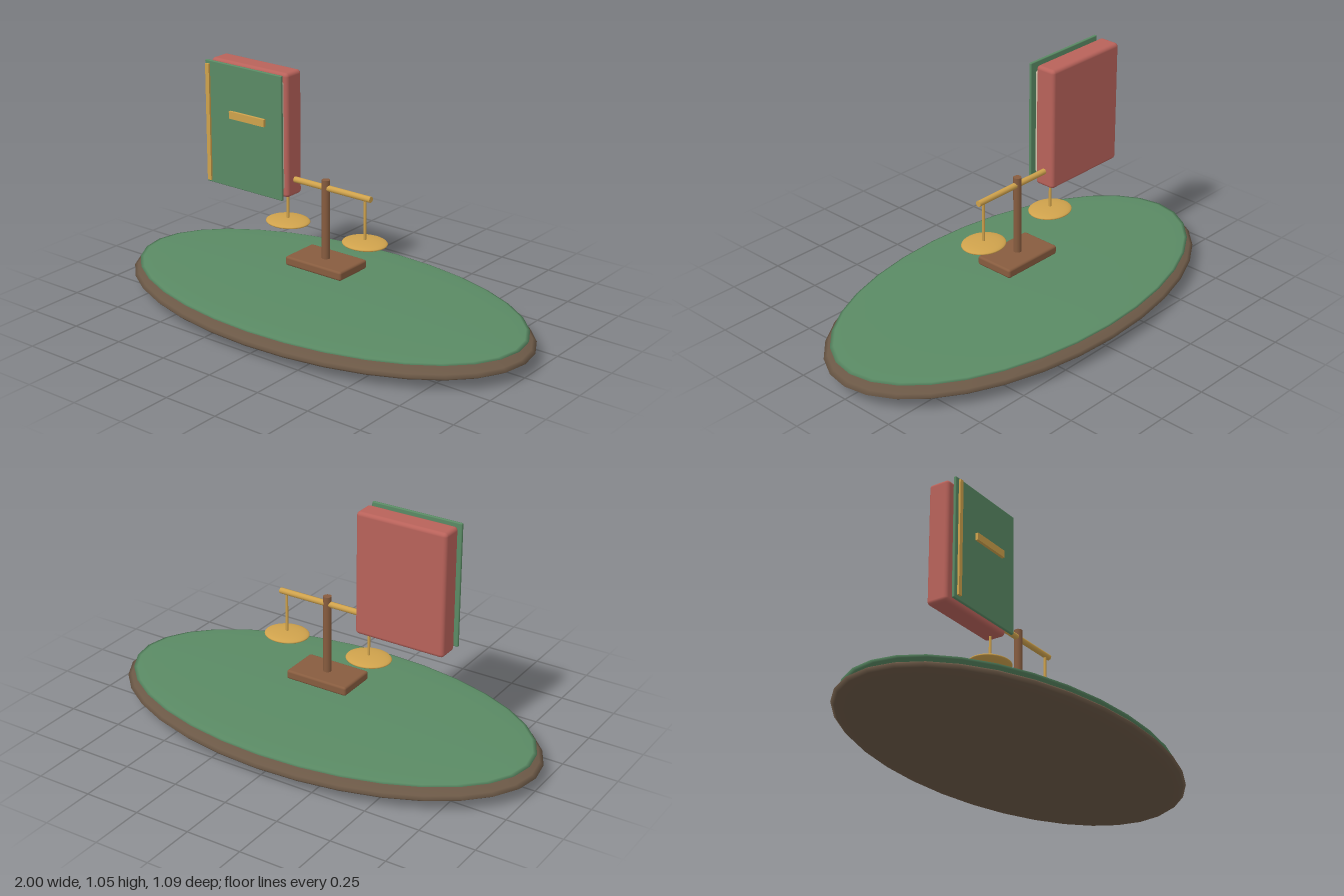
import * as THREE from 'three';
import { RoundedBoxGeometry } from 'three/addons/geometries/RoundedBoxGeometry.js';

export function createModel() {
  const model = new THREE.Group();
  model.name = 'tableWithBookAndScales';

  const mat = (name, color) => {
    const m = new THREE.MeshStandardMaterial({ color });
    m.name = name;
    return m;
  };
  const green = mat('green', 0x5a8a64);
  const darkWood = mat('darkWood', 0x6b5846);
  const wood = mat('wood', 0x875c3f);
  const gold = mat('gold', 0xcfa24c);
  const red = mat('red', 0xb8625a);
  const cream = mat('cream', 0xd2c8ae);

  const add = (parent, name, geometry, material, x, y, z) => {
    const mesh = new THREE.Mesh(geometry, material);
    mesh.name = name;
    mesh.position.set(x, y, z);
    parent.add(mesh);
    return mesh;
  };
  const group = (name) => {
    const g = new THREE.Group();
    g.name = name;
    model.add(g);
    return g;
  };
  const ellipsoid = (rx, ry, rz) => new THREE.SphereGeometry(1, 32, 16).scale(rx, ry, rz);

  // Oval tabletop: wooden body with a thin green felt on it
  const table = group('table');
  add(table, 'tableBody', ellipsoid(1, 0.06, 0.545), darkWood, 0, 0.06, 0);
  add(table, 'felt', ellipsoid(0.97, 0.017, 0.52), green, 0, 0.105, 0);

  // Upright book, cover facing front
  const book = group('book');
  const bx = -0.373, by = 0.775;
  add(book, 'backBlock', new RoundedBoxGeometry(0.416, 0.546, 0.098, 3, 0.016), red, bx, by, 0.001);
  add(book, 'pages', new RoundedBoxGeometry(0.36, 0.48, 0.06, 3, 0.016), cream, bx + 0.01, by, 0.044);
  add(book, 'frontCover', new RoundedBoxGeometry(0.416, 0.546, 0.013, 2, 0.004), green, bx, by, 0.082);
  add(book, 'spineStrip', new THREE.BoxGeometry(0.02, 0.52, 0.009), gold, -0.558, by, 0.098);
  add(book, 'titleBar', new THREE.BoxGeometry(0.19, 0.032, 0.013), gold, -0.346, 0.831, 0.095);

  // Balance scales
  const scales = group('scales');
  add(scales, 'scaleBase', new RoundedBoxGeometry(0.296, 0.041, 0.184, 2, 0.01), wood, 0, 0.238, 0);
  add(scales, 'post', new THREE.CylinderGeometry(0.018, 0.018, 0.36, 12), wood, 0, 0.43, 0);
  add(scales, 'beam', new THREE.CylinderGeometry(0.013, 0.013, 0.47, 12).rotateZ(Math.PI / 2), gold, 0, 0.575, 0);
  for (const [side, s] of [['left', 1], ['right', -1]]) {
    add(scales, side + 'Hanger', new THREE.CylinderGeometry(0.006, 0.006, 0.19, 8), gold, s * 0.205, 0.475, 0);
    add(scales, side + 'Pan', ellipsoid(0.1, 0.015, 0.088), gold, s * 0.205, 0.378, 0);
  }
  return model;
}
